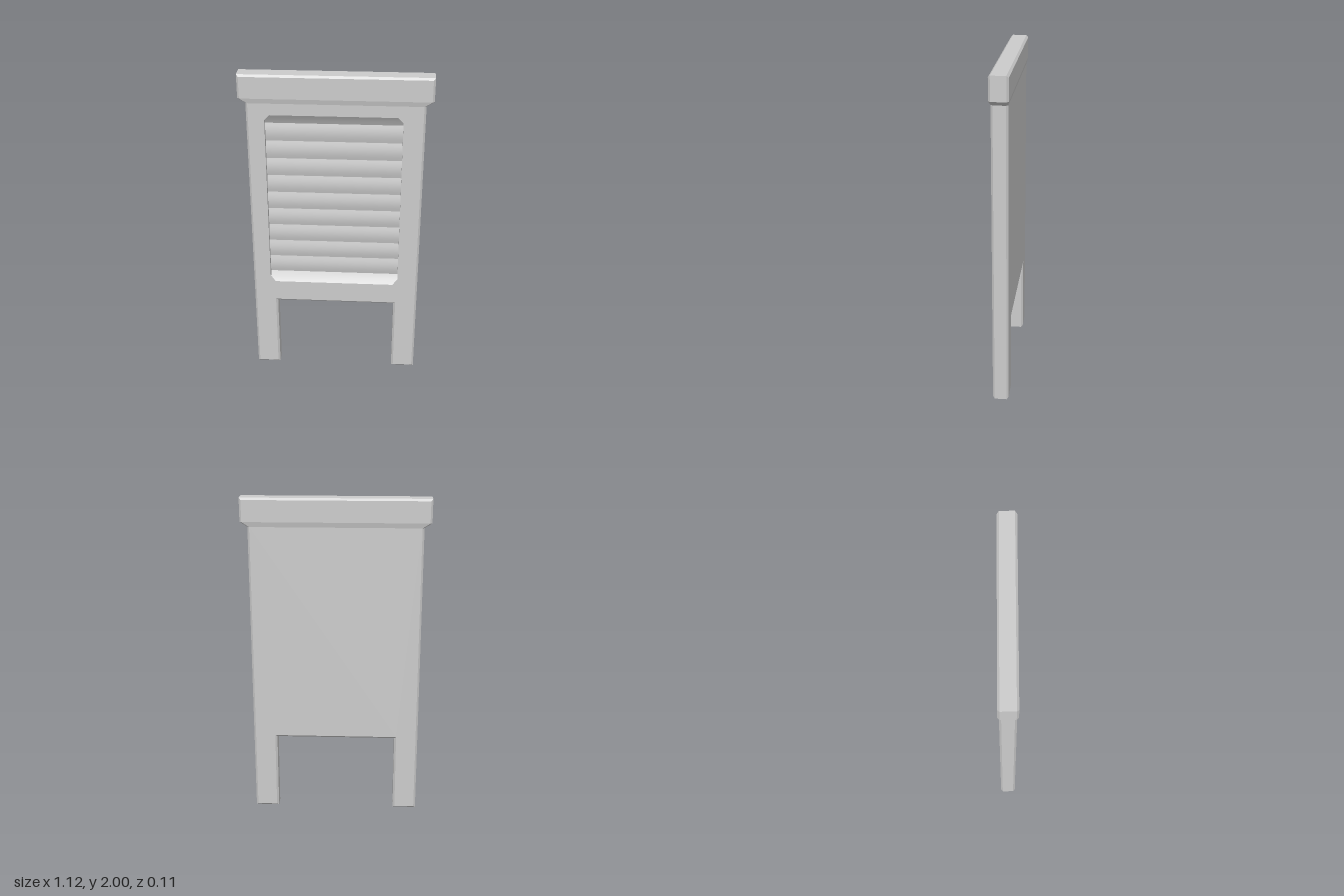
import * as THREE from 'three';
import { toCreasedNormals } from 'three/addons/utils/BufferGeometryUtils.js';

const BEVEL = 0.012;
const HEAD_Y = 1.86, NECK_Y = 1.83;
const OPEN = { x0: -0.41, x1: 0.39, y0: 0.635, y1: 1.76, cut: 0.03 };

// half thickness: the head rail is slightly thicker than the board
const halfDepth = (y) => (y > 1.845 ? 0.055 : 0.048);

// board outline, counter-clockwise, shrunk by d
function outline(d) {
  const right = [
    [0.37 + d, 0.49 + d], [0.37 + d, d], [0.516 - d, d],
    [0.516 - d, NECK_Y], [0.56 - d, HEAD_Y], [0.56 - d, 2 - d],
  ];
  const left = right.map(([x, y]) => [-x, y]).reverse();
  return [...right, ...left];
}

// quads between successive rows of points
function loft(rows, closed) {
  const n = rows[0].length, index = [];
  for (let r = 0; r < rows.length - 1; r++) {
    for (let c = 0; c < (closed ? n : n - 1); c++) {
      const a = r * n + c, b = r * n + (c + 1) % n;
      index.push(a, b, b + n, a, b + n, a + n);
    }
  }
  const geo = new THREE.BufferGeometry();
  geo.setAttribute('position', new THREE.Float32BufferAttribute(rows.flat(2), 3));
  geo.setIndex(index);
  return geo;
}

// flat face whose z follows the board thickness; side is 1 (front) or -1 (back)
function face(points, side, hole) {
  const toV = (p) => new THREE.Vector2(p[0], p[1]);
  const shape = new THREE.Shape(points.map(toV));
  if (hole) shape.holes.push(new THREE.Path(hole.map(toV)));
  const geo = new THREE.ShapeGeometry(shape);
  const pos = geo.attributes.position;
  for (let i = 0; i < pos.count; i++) pos.setZ(i, side * halfDepth(pos.getY(i)));
  if (side < 0) geo.setIndex(Array.from(geo.index.array).reverse());
  return geo;
}

export function createModel() {
  const group = new THREE.Group();
  const material = new THREE.MeshStandardMaterial({ color: 0xcccccc });
  const add = (name, geo, crease = 0.3) => {
    const mesh = new THREE.Mesh(toCreasedNormals(geo, crease), material);
    mesh.name = name;
    group.add(mesh);
  };

  // bevelled edge all round the board, legs and head rail
  const ring = (d, side, drop) =>
    outline(d).map(([x, y]) => [x, y, side * (halfDepth(y) - drop)]);
  add('bevelledEdge', loft([
    ring(BEVEL, -1, 0), ring(0, -1, BEVEL), ring(0, 1, BEVEL), ring(BEVEL, 1, 0),
  ], true));

  // front and back faces
  const inner = outline(BEVEL);
  const body = inner.filter(([, y]) => y <= NECK_Y);
  const head = inner.filter(([, y]) => y >= HEAD_Y);
  const neck = inner.filter(([, y]) => y === NECK_Y || y === HEAD_Y);
  const { x0, x1, y0, y1, cut } = OPEN;
  const opening = [
    [x0 + cut, y0], [x0, y0 + cut], [x0, y1 - cut], [x0 + cut, y1],
    [x1 - cut, y1], [x1, y1 - cut], [x1, y0 + cut], [x1 - cut, y0],
  ];
  for (const [label, side] of [['front', 1], ['back', -1]]) {
    add(label + 'Board', face(body, side, side > 0 ? opening : null));
    add(label + 'Neck', face(neck, side));
    add(label + 'HeadRail', face(head, side));
  }

  // recessed scrubbing panel: sloped lips above and below, rounded ribs between
  const front = halfDepth(0), floor = front - 0.035;
  const lip = 0.06, ribs = 9, steps = 6;
  const profile = [[y0, front], [y0 + cut, front - 0.02]];
  for (let i = 0; i <= ribs * steps; i++) {
    const t = i / steps;
    const y = y0 + lip + (y1 - y0 - 2 * lip) * (t / ribs);
    profile.push([y, floor + 0.009 * Math.abs(Math.sin(Math.PI * t))]);
  }
  profile.push([y1 - cut, front - 0.02], [y1, front]);

  const rows = profile.map(([y, z]) => {
    // the opening narrows at its clipped corners
    const inset = Math.max(0, cut - Math.min(y - y0, y1 - y));
    const a = x0 + inset, b = x1 - inset;
    return [[a, y, front], [a, y, z], [b, y, z], [b, y, front]];
  });
  add('ribbedPanel', loft(rows, false), 0.35);

  return group;
}
